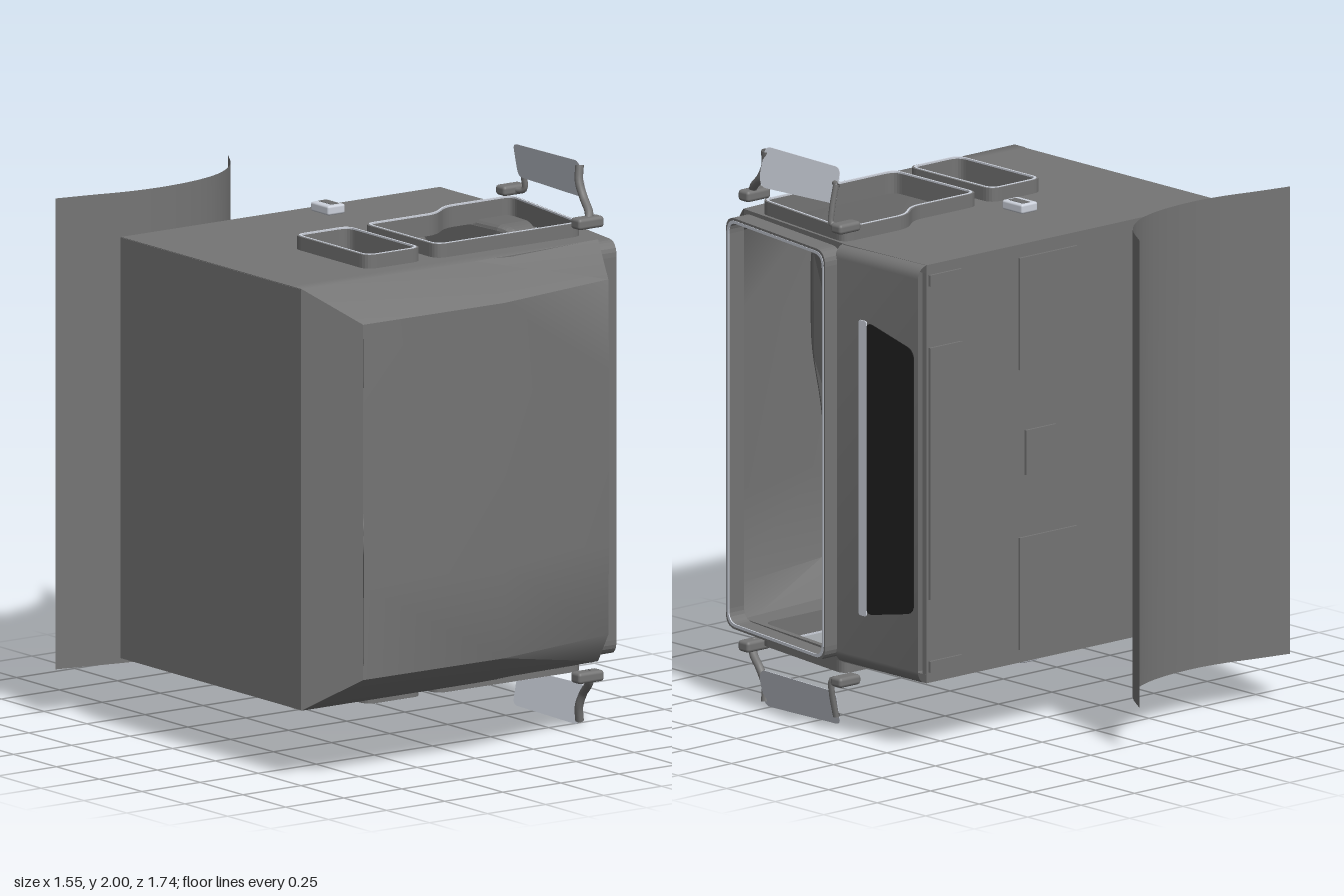
import * as THREE from 'three';
import { toCreasedNormals } from 'three/addons/utils/BufferGeometryUtils.js';
import { RoundedBoxGeometry } from 'three/addons/geometries/RoundedBoxGeometry.js';

// A truck cab lying on its side: its nose points to +x, its roof to +z, its doors to +y and -y.
const mat = (name, color) => {
  const m = new THREE.MeshStandardMaterial({ color, side: THREE.DoubleSide });
  m.name = name;
  return m;
};

export function createModel() {
  const cab = new THREE.Group();
  cab.name = 'truckCab';
  const grey = mat('body grey', 0x757575);
  const trim = mat('interior grey', 0x6c6c6c);
  const black = mat('grille black', 0x202020);
  const light = mat('light grey', 0xcdd2dc);

  const add = (name, geo, material, x = 0, y = 0, z = 0) => {
    const m = new THREE.Mesh(geo, material);
    m.name = name;
    m.position.set(x, y, z);
    cab.add(m);
    return m;
  };
  const box = (name, material, x0, x1, y0, y1, z0, z1) =>
    add(name, new THREE.BoxGeometry(x1 - x0, y1 - y0, z1 - z0), material, (x0 + x1) / 2, (y0 + y1) / 2, (z0 + z1) / 2);

  // Surface through rows of points
  const loft = (rows, crease = 0.6) => {
    const n = rows[0].length, idx = [];
    for (let i = 0; i < rows.length - 1; i++)
      for (let j = 0; j < n - 1; j++) {
        const a = i * n + j, b = a + n;
        idx.push(a, b, a + 1, b, b + 1, a + 1);
      }
    const g = new THREE.BufferGeometry();
    g.setAttribute('position', new THREE.Float32BufferAttribute(rows.flat(2), 3));
    g.setIndex(idx);
    return toCreasedNormals(g, crease);
  };

  // Outline with rounded corners
  const round = (pts, r) => {
    const v = pts.map(p => new THREE.Vector2(...p)), n = v.length;
    const cut = (from, to) => from.clone().lerp(to, Math.min(0.45, r / from.distanceTo(to)));
    return v.flatMap((p, i) =>
      new THREE.QuadraticBezierCurve(cut(p, v[(i + n - 1) % n]), p, cut(p, v[(i + 1) % n])).getPoints(6));
  };
  // Counter-clockwise outline moved outwards by d
  const grow = (pts, d) => pts.map((p, i) => {
    const q = pts[(i + pts.length - 1) % pts.length], s = pts[(i + 1) % pts.length];
    const nrm = (a, b) => new THREE.Vector2(b[1] - a[1], a[0] - b[0]).normalize();
    const a = nrm(q, p), b = nrm(p, s), k = d / (1 + a.dot(b));
    return [p[0] + (a.x + b.x) * k, p[1] + (a.y + b.y) * k];
  });
  const plate = (outer, holes, depth) => {
    const s = new THREE.Shape(outer);
    holes.forEach(h => s.holes.push(new THREE.Path(h)));
    return new THREE.ExtrudeGeometry(s, { depth, bevelEnabled: false });
  };
  // Moves every vertex by a rule
  const remap = (g, rule) => {
    const p = g.attributes.position;
    for (let i = 0; i < p.count; i++) p.setXYZ(i, ...rule(p.getX(i), p.getY(i), p.getZ(i)));
    g.computeVertexNormals();
    return g;
  };
  // (x, z) outline, centred on y = 0
  const sidePlate = (outer, holes, depth) => plate(outer, holes, depth).translate(0, 0, -depth / 2).rotateX(Math.PI / 2);
  // Slope of the windscreen opening
  const screenX = z => 0.695 - 0.15 * (z - 0.07);

  // Side walls with window openings
  const rearWindow = [[-0.33, 0.155], [-0.11, 0.155], [-0.11, 0.57], [-0.33, 0.57]];
  const doorWindow = [[-0.03, 0.155], [0.27, 0.155], [0.36, 0.085], [0.645, 0.085], [0.58, 0.57], [-0.03, 0.57]];
  const wall = [[-0.71, -0.355], [0.66, -0.355], [0.67, 0.05], [0.592, 0.66], [0.2, 0.69], [-0.71, 0.7]].map(p => new THREE.Vector2(...p));
  for (const s of [1, -1]) {
    const Y = d => 1 + s * d;
    add('sideWall', sidePlate(wall, [round(rearWindow, 0.04), round(doorWindow, 0.04)], 0.03), grey, 0, Y(0.732), 0);
    for (const w of [rearWindow, doorWindow]) {
      add('windowFrame', sidePlate(round(grow(w, 0.01), 0.045), [round(w, 0.04)], 0.06), grey, 0, Y(0.765), 0);
      add('windowSeal', sidePlate(round(grow(w, 0.004), 0.04), [round(grow(w, -0.003), 0.04)], 0.006), light, 0, Y(0.794), 0);
    }
    // Door handle, standing proud of the door
    add('doorHandle', new RoundedBoxGeometry(0.075, 0.034, 0.105, 2, 0.008), light, 0, Y(0.803), -0.11);
    box('handleRecess', trim, -0.012, 0.022, Y(0.8205) - 0.001, Y(0.8205) + 0.001, -0.15, -0.075);

    // Mirror on two arms
    const rim = round([[0.13, 0.872], [0.51, 0.862], [0.53, 0.9], [0.525, 1.0], [0.14, 0.995]], 0.025);
    add('mirrorGlass', remap(plate(rim, [], 0.003), (z, d, w) => [0.645 - 0.25 * (d - 0.86) + w, Y(d), z]), light);
    const arm = (name, pts, r) => add(name, new THREE.TubeGeometry(
      new THREE.CatmullRomCurve3(pts.map(([x, d, z]) => new THREE.Vector3(x, Y(d), z))), 16, r, 8), grey);
    arm('upperMirrorArm', [[0.57, 0.79, 0.63], [0.59, 0.83, 0.615], [0.605, 0.88, 0.56], [0.605, 0.93, 0.535], [0.615, 0.985, 0.525]], 0.015);
    arm('lowerMirrorArm', [[0.67, 0.81, 0.06], [0.69, 0.815, 0.1], [0.685, 0.86, 0.105], [0.665, 0.95, 0.105]], 0.011);
    arm('lowerMirrorHook', [[0.665, 0.945, 0.1], [0.64, 0.945, 0.14]], 0.01);
    add('upperArmMount', new RoundedBoxGeometry(0.11, 0.04, 0.055, 2, 0.012), grey, 0.575, Y(0.805), 0.625);
    add('lowerArmMount', new RoundedBoxGeometry(0.1, 0.036, 0.055, 2, 0.012), grey, 0.67, Y(0.81), 0.05);

    // Seat
    const back = add('seatBack', new RoundedBoxGeometry(0.1, 0.44, 0.46, 3, 0.04), trim, -0.165, Y(0.49), 0.23);
    back.rotation.y = -0.08;
    add('headrest', new RoundedBoxGeometry(0.095, 0.28, 0.14, 3, 0.04), trim, -0.16, Y(0.49), 0.515);
    add('seatCushion', new RoundedBoxGeometry(0.46, 0.44, 0.13, 3, 0.04), trim, 0.06, Y(0.49), 0.04);
    box('seatBase', trim, -0.12, 0.2, Y(0.49) - 0.16, Y(0.49) + 0.16, -0.34, 0);

    // Panels under the floor
    box('floorPanel', grey, -0.04, 0.23, Y(0.5) - 0.2, Y(0.5) + 0.2, -0.364, -0.35);
    box('floorCornerRib', grey, 0.5, 0.65, Y(0.69) - 0.02, Y(0.69) + 0.02, -0.364, -0.35);
  }
  box('floorHatch', grey, 0.06, 0.2, 0.92, 1.08, -0.364, -0.35);
  const tray = [[0.65, 0.55], [0.65, 1.45], [0.5, 1.45], [0.5, 1.3], [0.32, 1.17], [0.32, 0.83], [0.5, 0.7], [0.5, 0.55]];
  add('floorTray', plate(tray.map(p => new THREE.Vector2(...p)), [], 0.012), grey, 0, 0, -0.364);

  // Back wall and floor
  box('backWall', grey, -0.712, -0.69, 0.255, 1.745, -0.355, 0.7);
  box('floor', grey, -0.71, 0.66, 0.255, 1.745, -0.355, -0.335);

  // Roof with sloped edges blending into the walls, and a drooping front visor
  const roofStations = [[-0.712, 0.7, -0.565, 0.862], [0.04, 0.695, 0.04, 0.866], [0.595, 0.66, 0.558, 0.77]];
  add('roof', loft(roofStations.map(([bx, bz, tx, tz]) => {
    const half = [[bx, 0.252, bz - 0.06], [bx, 0.252, bz], [tx, 0.37, tz], [tx, 0.7, tz + 0.004]];
    return [...half, ...half.toReversed().map(([x, y, z]) => [x, 2 - y, z])];
  }), 0.8), grey);
  for (const [bx, bz, tx, tz] of [roofStations[0], roofStations[2]])
    add('roofEndSlope', loft([[[bx, 0.252, bz], [bx, 1.748, bz]], [[tx, 0.37, tz], [tx, 1.63, tz]]]), grey);

  // Nose panel with rounded corners
  const noseRows = [-0.355, 0.07].map(z => {
    const half = [];
    for (let i = 0; i <= 6; i++) {
      const a = i / 6 * Math.PI / 2;
      half.push([0.655 + 0.045 * Math.sin(a), 0.298 - 0.045 * Math.cos(a), z]);
    }
    return [...half, ...half.toReversed().map(([x, y]) => [x, 2 - y, z])];
  });
  add('nosePanel', loft(noseRows, 0.8), grey);

  // Deep windscreen surround with a light seal on its front edge
  const screen = [[0.28, 0.075], [1.72, 0.075], [1.72, 0.66], [0.28, 0.66]];
  const onScreen = offset => (y, z, w) => [screenX(z) + offset + w, y, z];
  add('windscreenFrame', remap(plate(round(grow(screen, 0.014), 0.055), [round(screen, 0.05)], 0.075), onScreen(-0.015)), grey);
  add('windscreenSeal', remap(plate(round(grow(screen, 0.006), 0.052), [round(grow(screen, -0.004), 0.046)], 0.005), onScreen(0.057)), light);

  // Grille plate with its bright strip, set off from the nose
  const onGrille = (y, z, w) => [0.768 + w, y, z];
  const grille = round([[0.53, -0.41], [1.47, -0.41], [1.53, -0.165], [0.48, -0.165]], 0.035);
  add('grille', remap(plate(grille, [], 0.003), onGrille), black);
  add('grilleStrip', remap(plate(round([[0.475, -0.168], [1.53, -0.168], [1.53, -0.13], [0.475, -0.13]], 0.008), [], 0.005), onGrille), light);

  // Dashboard, higher in front of the driver, wedge-shaped from the side
  const dash = new THREE.Shape();
  dash.moveTo(0.27, -0.3);
  dash.lineTo(1.73, -0.3);
  dash.lineTo(1.73, 0.2);
  dash.quadraticCurveTo(1.72, 0.28, 1.64, 0.28);
  dash.lineTo(1.42, 0.28);
  dash.bezierCurveTo(1.25, 0.28, 1.2, 0.2, 1.0, 0.2);
  dash.lineTo(0.27, 0.2);
  const dashGeo = new THREE.ExtrudeGeometry(dash, { depth: 0.12, bevelSize: 0.02, bevelThickness: 0.03, bevelOffset: -0.02, bevelSegments: 3, curveSegments: 10 });
  add('dashboard', remap(dashGeo, (y, z, w) => {
    const t = Math.max(0, z - 0.1);
    return [THREE.MathUtils.lerp(0.45 + 0.5 * t, 0.67 - 0.2 * t, (w + 0.03) / 0.18), y, z];
  }), trim);

  // Steering wheel and column
  const steering = new THREE.Group();
  steering.name = 'steeringWheel';
  steering.position.set(0.365, 1.48, 0.285);
  steering.rotation.y = -0.56;
  const part = (name, geo, x, z) => {
    const m = new THREE.Mesh(geo, trim);
    m.name = name;
    m.position.set(x, 0, z);
    steering.add(m);
  };
  part('wheelRim', new THREE.TorusGeometry(0.15, 0.008, 8, 32), 0, 0);
  part('wheelCrossSpoke', new THREE.BoxGeometry(0.02, 0.29, 0.01), 0, 0);
  part('wheelLowerSpoke', new THREE.BoxGeometry(0.15, 0.02, 0.01), -0.07, 0);
  part('steeringColumn', new THREE.CylinderGeometry(0.045, 0.045, 0.24, 16).rotateX(Math.PI / 2), 0, -0.12);
  cab.add(steering);

  // Curved air deflector sheet standing free behind the floor
  const wave = new THREE.CatmullRomCurve3([[-0.775, -0.65], [-0.65, -0.625], [-0.5, -0.592], [-0.37, -0.582], [-0.2, -0.6], [-0.07, -0.647], [0.04, -0.735], [0.13, -0.87]]
    .map(([x, z]) => new THREE.Vector3(x, 0, z))).getPoints(30);
  add('deflectorSheet', loft([0.17, 1.84].map(y => wave.map(p => [p.x, y, p.z])), 1), grey);

  return cab;
}
